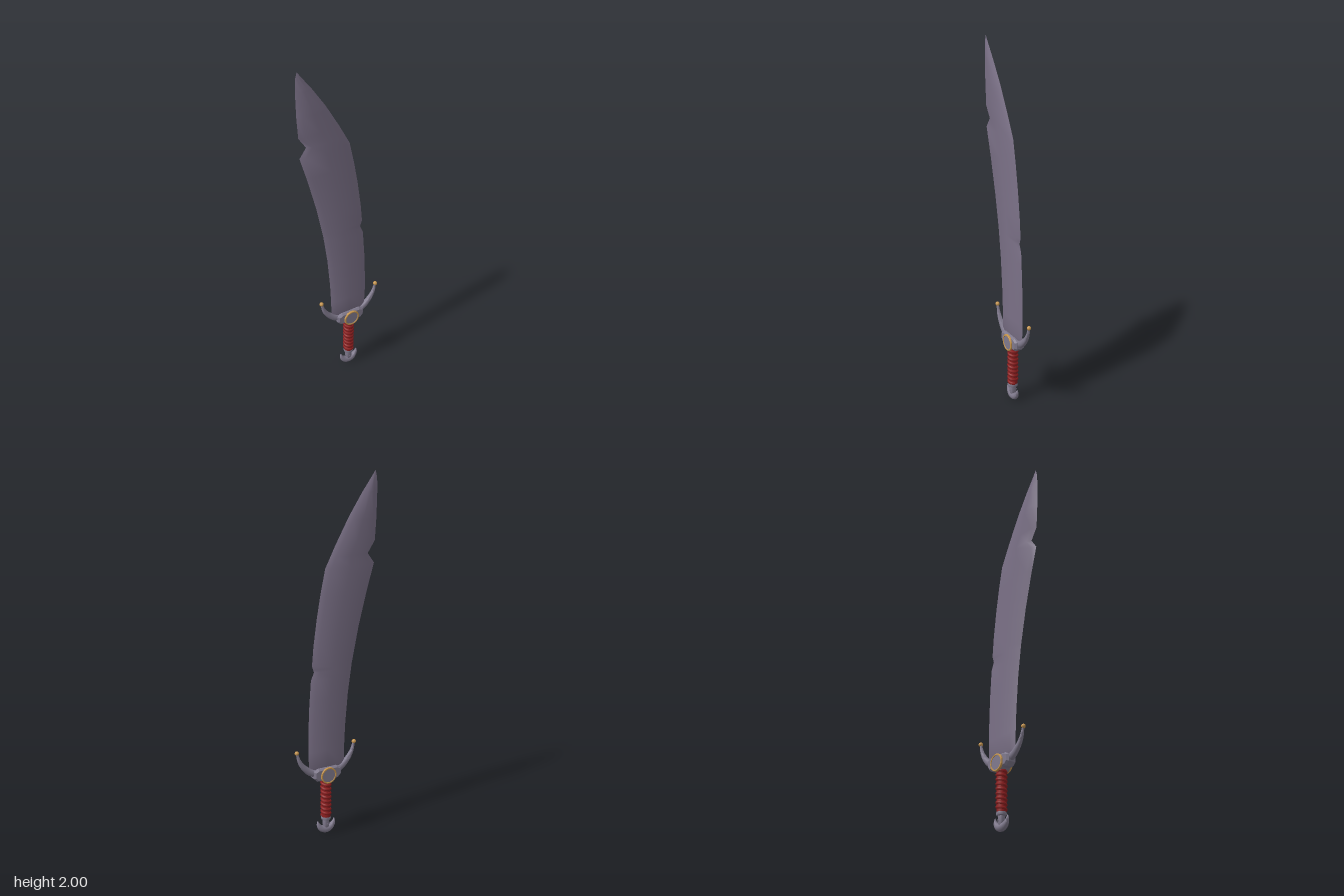
import * as THREE from 'three';
import { toCreasedNormals } from 'three/addons/utils/BufferGeometryUtils.js';

const AXIS = 0.06; // x of the handle axis
const material = (name, color) => {
  const m = new THREE.MeshStandardMaterial({ color });
  m.name = name;
  return m;
};

// Joins closed rings of points into a skin
function loft(rings, crease = 0.7) {
  const n = rings[0].length, index = [];
  for (let i = 0; i < rings.length - 1; i++) {
    for (let j = 0; j < n; j++) {
      const k = (j + 1) % n, a = i * n, b = a + n;
      index.push(a + j, a + k, b + j, a + k, b + k, b + j);
    }
  }
  const g = new THREE.BufferGeometry();
  g.setAttribute('position', new THREE.Float32BufferAttribute(rings.flat(2), 3));
  g.setIndex(index);
  return toCreasedNormals(g, crease);
}

// Sweeps an ellipse along a curve lying in the xy plane
function sweep(curve, width, depth, steps = 20, sides = 12) {
  const rings = [];
  for (let i = 0; i <= steps; i++) {
    const t = i / steps, p = curve.getPoint(t), d = curve.getTangent(t), ring = [];
    for (let j = 0; j < sides; j++) {
      const a = (j / sides) * Math.PI * 2, r = width(t) * Math.cos(a);
      ring.push([p.x - d.y * r, p.y + d.x * r, depth(t) * Math.sin(a)]);
    }
    rings.push(ring);
  }
  return loft(rings, 1.2);
}

// Edge position at height y, from [y, x] pairs
function edgeAt(edge, y) {
  for (let i = 1; i < edge.length; i++) {
    const [y0, x0] = edge[i - 1], [y1, x1] = edge[i];
    if (y <= y1) return x0 + ((x1 - x0) * (y - y0)) / (y1 - y0);
  }
  return edge[edge.length - 1][1];
}

function bladeGeometry() {
  const left = [[0.385, -0.045], [0.41, -0.054], [0.5, -0.056], [0.62, -0.062], [0.8, -0.078], [0.97, -0.102],
    [1.17, -0.143], [1.36, -0.192], [1.51, -0.236], [1.565, -0.197], [1.63, -0.24], [1.75, -0.248],
    [1.9, -0.252], [1.96, -0.25], [2, -0.24]];
  const right = [[0.385, 0.155], [0.41, 0.164], [0.5, 0.168], [0.62, 0.166], [0.75, 0.161], [0.91, 0.149],
    [0.955, 0.13], [0.99, 0.142], [1.1, 0.132], [1.25, 0.111], [1.38, 0.088], [1.51, 0.06],
    [1.63, -0.002], [1.77, -0.081], [1.89, -0.16], [1.96, -0.212], [2, -0.24]];
  const ys = [...new Set([...left, ...right].map((p) => p[0]))].sort((a, b) => a - b);
  return loft(ys.map((y) => {
    const l = edgeAt(left, y), r = edgeAt(right, y), w = r - l;
    const bevel = Math.min(0.028, w * 0.3);
    const z = 0.014 * Math.min(1, w / 0.12) * (y < 0.4 ? 0.5 : 1);
    const front = [[l + bevel, z], [l + w * 0.5, z * 1.12], [r - bevel, z]];
    return [[l, y, 0], ...front.map(([x, d]) => [x, y, d]),
      [r, y, 0], ...front.reverse().map(([x, d]) => [x, y, -d])];
  }));
}

export function createModel() {
  const bladeSteel = material('blade steel', 0x7a7086);
  const steel = material('fitting steel', 0x7f798c);
  const gold = material('gold', 0xc4944e);
  const red = material('red leather', 0x8e1f20);
  const model = new THREE.Group();
  const add = (name, geometry, mat, parent) => {
    const m = new THREE.Mesh(geometry, mat);
    m.name = name;
    parent.add(m);
    return m;
  };
  add('blade', bladeGeometry(), bladeSteel, model);

  const hilt = new THREE.Group();
  hilt.name = 'hilt';
  hilt.position.x = AXIS;
  model.add(hilt);

  // Guard block with chamfered faces
  const outline = new THREE.Shape([[-0.06, 0.337], [0.06, 0.337], [0.075, 0.352], [0.075, 0.382],
    [0.055, 0.392], [-0.055, 0.392], [-0.075, 0.382], [-0.075, 0.352]].map(([x, y]) => new THREE.Vector2(x, y)));
  const block = new THREE.ExtrudeGeometry(outline,
    { depth: 0.04, bevelThickness: 0.01, bevelSize: 0.009, bevelSegments: 1 });
  block.translate(0, 0, -0.02);
  add('guardBlock', block, steel, hilt);

  // Upturned horns with gold balls
  const hornCurve = new THREE.CatmullRomCurve3([[0.02, 0.372], [0.085, 0.378], [0.132, 0.414], [0.163, 0.46],
    [0.177, 0.508]].map(([x, y]) => new THREE.Vector3(x, y, 0)));
  const horn = sweep(hornCurve, (t) => 0.027 - 0.021 * t, (t) => 0.022 - 0.016 * t);
  for (const side of [1, -1]) {
    const name = side > 0 ? 'left' : 'right';
    add(name + 'Horn', horn, steel, hilt).scale.x = side;
    add(name + 'HornBall', new THREE.SphereGeometry(0.012, 16, 12), gold, hilt).position.set(side * 0.178, 0.512, 0);
  }

  // Round bosses, front and back
  for (const side of [1, -1]) {
    const boss = new THREE.Group();
    boss.name = side > 0 ? 'frontBoss' : 'backBoss';
    boss.position.y = 0.357;
    boss.rotation.y = side > 0 ? 0 : Math.PI;
    hilt.add(boss);
    const disc = new THREE.CylinderGeometry(0.043, 0.043, 0.036, 32);
    disc.rotateX(Math.PI / 2);
    add('bossDisc', disc, steel, boss).position.z = 0.018;
    const rim = new THREE.LatheGeometry([[0.047, 0.028], [0.047, 0.037], [0.045, 0.039], [0.039, 0.039],
      [0.038, 0.034]].map(([x, y]) => new THREE.Vector2(x, y)), 32);
    rim.rotateX(Math.PI / 2);
    add('bossRim', toCreasedNormals(rim, 0.6), gold, boss);
  }

  // Grip core with a spiral cord wrapped around it
  add('gripCore', new THREE.CylinderGeometry(0.026, 0.026, 0.24, 24), red, hilt).position.y = 0.215;
  const turns = 9, wrap = [];
  for (let i = 0; i <= turns * 12; i++) {
    const a = (i / 12) * Math.PI * 2;
    wrap.push(new THREE.Vector3(0.022 * Math.cos(a), 0.105 + (0.22 * i) / (turns * 12), 0.022 * Math.sin(a)));
  }
  add('gripWrap', new THREE.TubeGeometry(new THREE.CatmullRomCurve3(wrap), turns * 20, 0.0095, 8), red, hilt);

  // Pommel collar and neck
  const neck = new THREE.LatheGeometry([[0, 0.03], [0.015, 0.035], [0.019, 0.05], [0.018, 0.08], [0.026, 0.083],
    [0.028, 0.09], [0.026, 0.1], [0, 0.1]].map(([x, y]) => new THREE.Vector2(x, y)), 24);
  add('pommelNeck', toCreasedNormals(neck, 0.7), steel, hilt);

  // Crescent pommel, open toward the grip
  const arc = [];
  for (let i = 0; i <= 12; i++) {
    const u = i / 6 - 1, a = -Math.PI / 2 + u * 1.85, r = 0.043 + 0.01 * u * u;
    arc.push(new THREE.Vector3(r * Math.cos(a), 0.064 + r * Math.sin(a), 0));
  }
  const swell = (size) => (t) => 0.001 + size * Math.pow(Math.sin(Math.PI * t), 0.8);
  add('pommelCrescent', sweep(new THREE.CatmullRomCurve3(arc), swell(0.02), swell(0.018), 28), steel, hilt);
  const rivet = new THREE.CylinderGeometry(0.005, 0.005, 0.042, 12);
  rivet.rotateX(Math.PI / 2);
  add('pommelRivet', rivet, steel, hilt).position.y = 0.055;

  return model;
}
